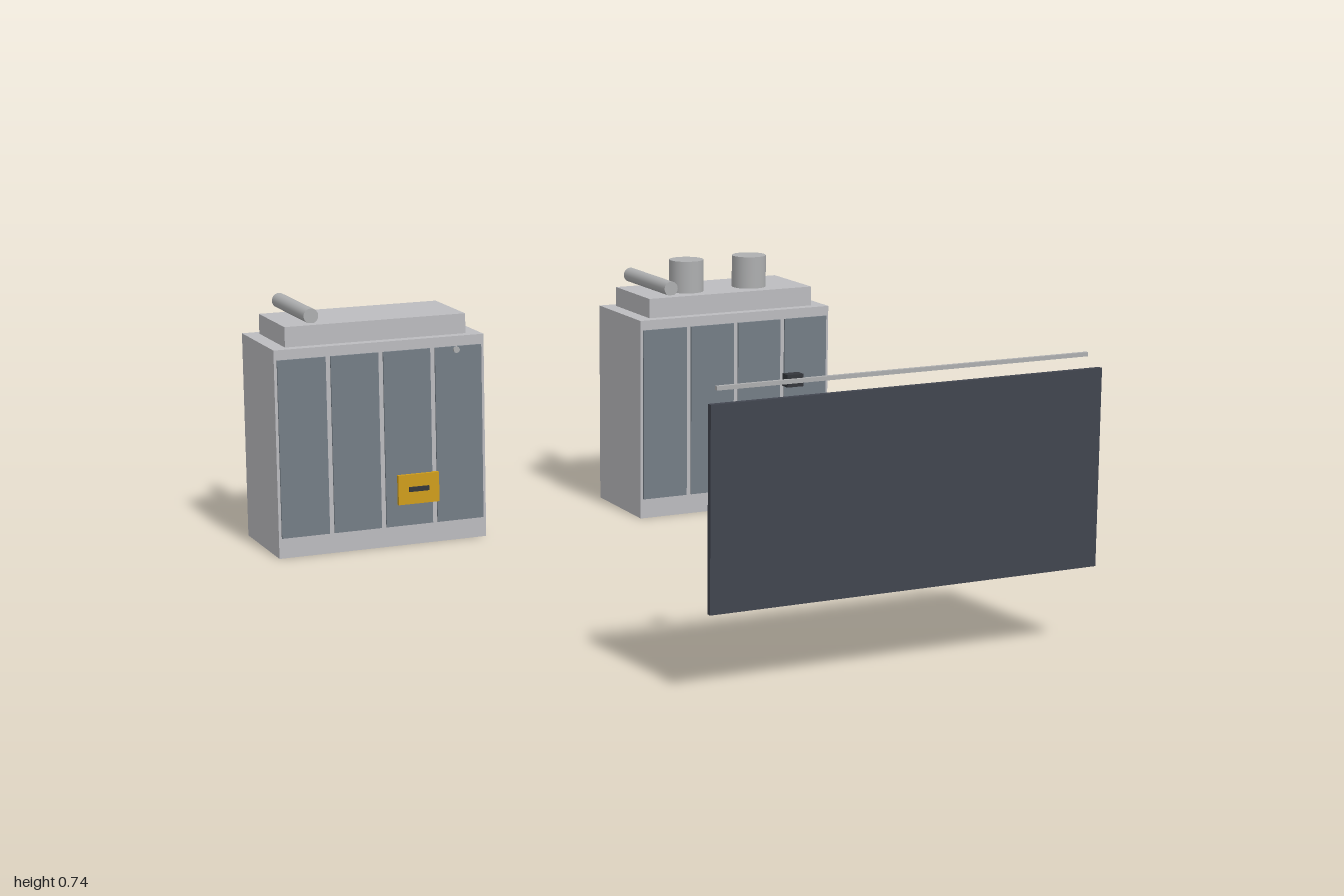
import * as THREE from 'three';

const mat = (name, color) => {
  const m = new THREE.MeshStandardMaterial({ color });
  m.name = name;
  return m;
};

export function createModel() {
  const model = new THREE.Group();
  model.name = 'cabinetsAndBoard';

  const shell = mat('light grey shell', 0xbcbcbf);
  const door = mat('slate door', 0x747d86);
  const slate = mat('dark board', 0x41454f);
  const metal = mat('pipe grey', 0xaeafb0);
  const yellow = mat('mustard yellow', 0xcf9d1c);
  const dark = mat('charcoal', 0x34363b);

  // Box given by its minimum and maximum on each axis
  function box(parent, name, material, x0, x1, y0, y1, z0, z1) {
    const mesh = new THREE.Mesh(new THREE.BoxGeometry(x1 - x0, y1 - y0, z1 - z0), material);
    mesh.position.set((x0 + x1) / 2, (y0 + y1) / 2, (z0 + z1) / 2);
    mesh.name = name;
    parent.add(mesh);
    return mesh;
  }

  function cylinder(parent, name, material, r, length, x, y, z, alongZ) {
    const mesh = new THREE.Mesh(new THREE.CylinderGeometry(r, r, length, 24), material);
    mesh.position.set(x, y, z);
    if (alongZ) mesh.rotation.x = Math.PI / 2;
    mesh.name = name;
    parent.add(mesh);
    return mesh;
  }

  // Cabinet: body, raised cap, four door panels and a rear pipe
  const front = -0.652;
  function cabinet(name, x0, pipeX) {
    const g = new THREE.Group();
    g.name = name;
    const x1 = x0 + 0.607;
    box(g, 'body', shell, x0, x1, 0, 0.58, -0.942, front);
    box(g, 'cap', shell, x0 + 0.042, x1 - 0.042, 0.58, 0.636, -0.915, -0.682);
    for (let i = 0; i < 4; i++) {
      const px = x0 + 0.008 + i * 0.151;
      box(g, 'doorPanel', door, px, px + 0.137, 0.057, 0.552, front, front + 0.005);
    }
    cylinder(g, 'pipe', metal, 0.021, 0.286, pipeX, 0.655, -0.857, true);
    model.add(g);
    return g;
  }

  const rightCabinet = cabinet('rightCabinet', -0.848, -0.72);
  const leftCabinet = cabinet('leftCabinet', 0.239, 0.365);

  // Roof vents on the left cabinet
  for (const x of [0.439, 0.642]) cylinder(leftCabinet, 'roofVent', metal, 0.05, 0.093, x, 0.682, -0.768, false);

  // Yellow drop box with a slot, and a small door lamp
  box(rightCabinet, 'dropBox', yellow, -0.505, -0.385, 0.119, 0.203, front, -0.637);
  box(rightCabinet, 'dropSlot', dark, -0.475, -0.416, 0.155, 0.168, -0.637, -0.631);
  cylinder(rightCabinet, 'doorLamp', metal, 0.009, 0.012, -0.325, 0.543, -0.647, true);

  // Board with tiles on its back: seven above, six below
  const board = new THREE.Group();
  board.name = 'board';
  box(board, 'boardPanel', slate, -0.342, 0.7, 0.205, 0.696, 0.986, 1);
  [[7, 0.545], [6, 0.363]].forEach(([count, y]) => {
    for (let i = 0; i < count; i++) {
      const x1 = 0.675 - i * 0.1445;
      box(board, 'backTile', shell, x1 - 0.104, x1, y, y + 0.102, 0.978, 0.986);
    }
  });

  // Rail above the board with a sliding block
  box(board, 'rail', metal, -0.315, 0.675, 0.722, 0.732, 0.966, 0.976);
  box(board, 'railBlock', dark, -0.132, -0.091, 0.712, 0.741, 0.942, 0.968);
  model.add(board);

  return model;
}
